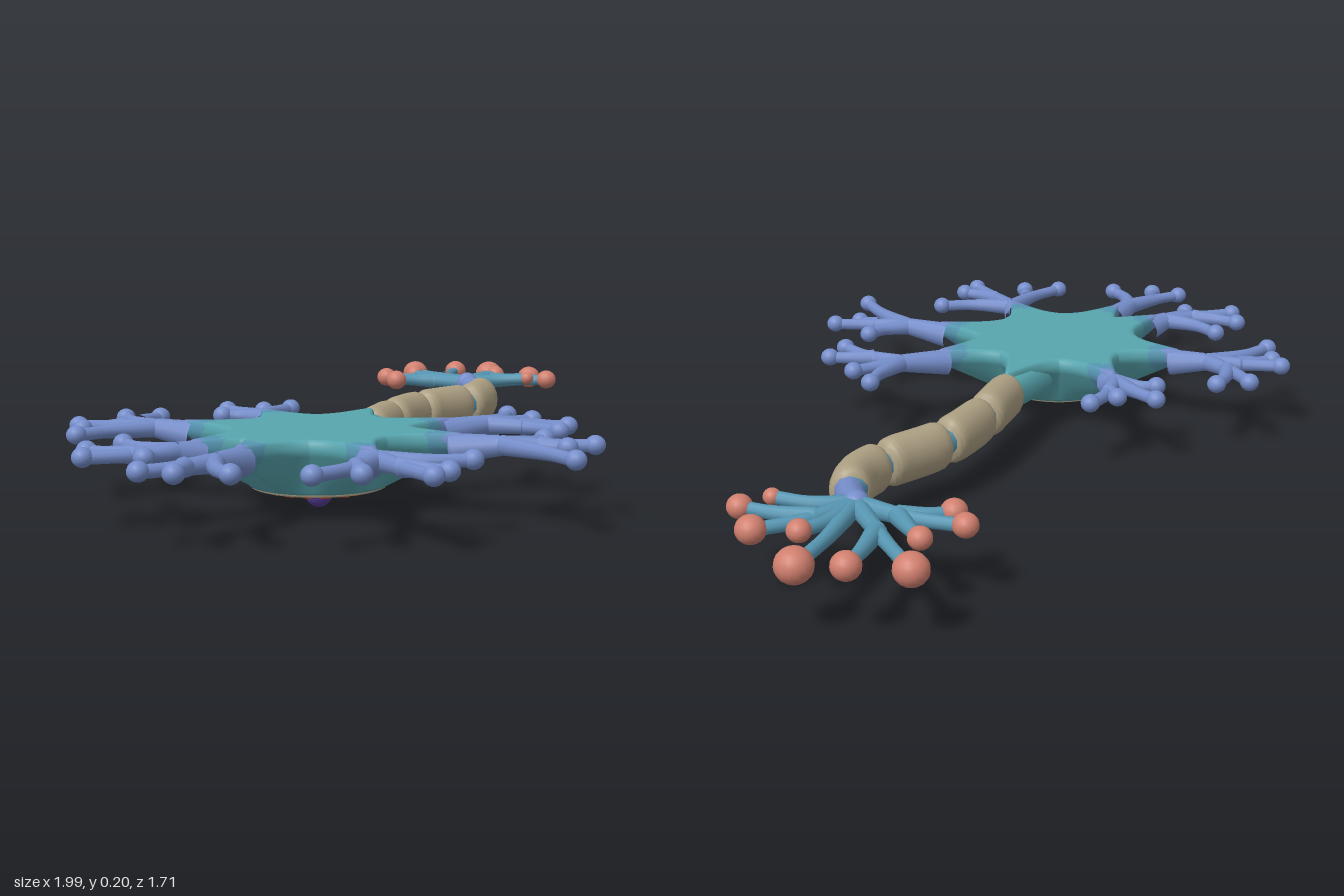
import * as THREE from 'three';
import { mergeVertices, toCreasedNormals } from 'three/addons/utils/BufferGeometryUtils.js';

const mat = (name, color) => Object.assign(new THREE.MeshStandardMaterial({ color }), { name });
const teal = mat('teal', 0x58a6af), steel = mat('steel blue', 0x5796b2), blue = mat('periwinkle', 0x758dca);
const tan = mat('tan', 0xada083), coral = mat('coral', 0xd07f6e), purple = mat('purple', 0x6747a0);
const violet = mat('violet', 0x573c98), green = mat('green', 0x458f6a), red = mat('brick red', 0xcf5a38);
const cream = mat('cream', 0xc4b89a);

const { lerp } = THREE.MathUtils;
const vec = (x, y, z) => new THREE.Vector3(x, y, z);
const CENTER = vec(-.37, 0, .18); // middle of the cell body
const TOP = .2; // everything stays below this flat top

function add(parent, name, geometry, material, position = vec(0, 0, 0)) {
  const m = new THREE.Mesh(geometry, material);
  m.name = name;
  m.position.copy(position);
  parent.add(m);
  return m;
}

// Tube along a curve whose radius follows radius(t); ry stretches it vertically
function taperTube(curve, radius, { steps = 14, sides = 10, ry = 1 } = {}) {
  let g = new THREE.TubeGeometry(curve, steps, 1, sides);
  const pos = g.attributes.position, v = vec(0, 0, 0);
  for (let k = 0; k < pos.count; k++) {
    const t = Math.floor(k / (sides + 1)) / steps, c = curve.getPointAt(t);
    v.fromBufferAttribute(pos, k).sub(c).multiplyScalar(radius(t));
    v.y *= ry;
    v.add(c);
    pos.setXYZ(k, v.x, v.y, v.z);
  }
  g.deleteAttribute('uv');
  g.deleteAttribute('normal');
  g = mergeVertices(g, 1e-5);
  g.computeVertexNormals();
  return g;
}
const path = (...points) => new THREE.CatmullRomCurve3(points);

// Dendrites: hub where the trunk splits, then limbs as [tip, ...side tips], all x, z
const DENDRITES = [
  { hub: [-.6, -.19], limbs: [[[-.57, -.39], [-.49, -.35]], [[-.735, -.34], [-.755, -.285]], [[-.82, -.2]]] },
  { hub: [-.285, -.18], limbs: [[[-.28, -.35]], [[-.35, -.27]], [[-.125, -.275], [-.21, -.28]]] },
  { hub: [.085, .285], limbs: [[[.245, .19]], [[.23, .3]], [[.14, .49], [.22, .44]]] },
  { hub: [-.12, .56], limbs: [[[-.145, .83]], [[.02, .56]], [[.045, .705], [-.03, .69]]] },
  { hub: [-.48, .55], limbs: [[[-.715, .62], [-.625, .675]], [[-.52, .785], [-.455, .76]], [[-.315, .68]]] },
  { hub: [-.78, .35], limbs: [[[-.975, .35], [-.93, .42]], [[-.84, .5]]] },
  { hub: [-.77, .17], limbs: [[[-.975, .11], [-.92, .03]], [[-.8, -.01]], [[-.87, .2]]] },
];

// Axon endings in the same form, with the bulb radius third
const ENDINGS = [
  [[.77, -.815, .04], [.875, -.735, .034]], [[.95, -.655, .043]], [[.872, -.538, .028]],
  [[.945, -.46, .035], [.91, -.345, .03]], [[.835, -.355, .021]],
  [[.567, -.715, .03], [.685, -.718, .028], [.543, -.637, .031]],
];

// Limbs leave the hub along dir, bend to their tip and throw side twigs from the middle
function addLimbs(parent, hub, dir, limbs, limbMaterial, tipMaterial) {
  const limb = (curve, [x, z, r = .025]) => {
    add(parent, 'limb', taperTube(curve, t => lerp(.024, .016, Math.min(1, t * 1.5))), limbMaterial);
    const tip = add(parent, 'tip', new THREE.SphereGeometry(r, 16, 12), tipMaterial, vec(x, TOP - r * .95, z));
    tip.scale.y = .94;
  };
  const end = ([x, z, r = .025]) => vec(x, TOP - r, z);
  for (const [tip, ...twigs] of limbs) {
    const middle = hub.clone().lerp(end(tip), .5).addScaledVector(dir, .018);
    const curve = path(hub, middle, end(tip));
    limb(curve, tip);
    for (const twig of twigs) {
      const start = curve.getPointAt(.42);
      limb(path(start, start.clone().lerp(end(twig), .5).addScaledVector(dir, .008), end(twig)), twig);
    }
  }
}

// Axon centre line, from inside the cell body to the endings
const AXON = path(vec(-.2, .145, .06), vec(-.065, .14, -.005), vec(.1, .137, -.117), vec(.287, .137, -.21),
  vec(.482, .137, -.244), vec(.575, .137, -.285), vec(.64, .145, -.36), vec(.69, .165, -.47));
const axonPart = (from, to) => path(...[0, .25, .5, .75, 1].map(t => AXON.getPointAt(lerp(from, to, t))));

// Directions in which the cell body reaches out
const angleTo = (x, z) => Math.atan2(z - CENTER.z, x - CENTER.x);
const AXON_ANGLE = angleTo(-.07, 0);
const REACHES = [AXON_ANGLE, ...DENDRITES.map(d => angleTo(...d.hub))];
const angleGap = (a, b) => Math.abs(Math.atan2(Math.sin(a - b), Math.cos(a - b)));
const bodyRadius = a => {
  const gap = Math.min(...REACHES.map(b => angleGap(a, b)));
  return .222 + .185 * Math.exp(-Math.hypot(gap, .025) / .13);
};

// Star-shaped body, flat on top, sinking to a round cut below; its reaches turn blue
function cellBody() {
  const N = 360, CUT = .17, rings = []; // each ring: star share, height, radius of the round share
  for (let i = 0; i <= 18; i++) rings.push([i / 18 * .95, TOP - .001, 0]);
  rings.push([.985, .192, 0], [1, .178, 0]);
  for (let i = 14; i >= 0; i--) rings.push([i / 14 * .97, .06 + .107 * i / 14, CUT]);
  rings.push([0, .064, .155], [0, .085, .145]);

  const verts = [], lists = [[], [], []];
  for (const [share, y, round] of rings) for (let i = 0; i < N; i++) {
    const a = i / N * Math.PI * 2, r = lerp(round, bodyRadius(a), share);
    verts.push(CENTER.x + r * Math.cos(a), y, CENTER.z + r * Math.sin(a));
  }
  for (let k = 0; k < rings.length - 1; k++) for (let i = 0; i < N; i++) {
    const a = k * N + i, b = k * N + (i + 1) % N, c = a + N, d = b + N;
    const dx = verts[c * 3] - CENTER.x, dz = verts[c * 3 + 2] - CENTER.z, dist = Math.hypot(dx, dz);
    const tealSide = dist < .29 || angleGap(Math.atan2(dz, dx), AXON_ANGLE) < .35;
    const list = lists[tealSide ? 0 : dist < .335 ? 1 : 2];
    if (k > 0) list.push(a, b, c);
    list.push(b, d, c);
  }
  const g = new THREE.BufferGeometry();
  g.setAttribute('position', new THREE.Float32BufferAttribute(verts, 3));
  g.setIndex(lists.flat());
  let start = 0;
  lists.forEach((l, i) => {
    g.addGroup(start, l.length, i);
    start += l.length;
  });
  g.computeVertexNormals();
  return g;
}

export function createModel() {
  const model = new THREE.Group();
  add(model, 'cellBody', cellBody(), [teal, steel, blue]);

  // Dendrites
  for (const { hub: [x, z], limbs } of DENDRITES) {
    const arm = new THREE.Group();
    arm.name = 'dendrite';
    model.add(arm);
    const hub = vec(x, .174, z), dir = vec(x - CENTER.x, 0, z - CENTER.z).normalize();
    const root = CENTER.clone().addScaledVector(dir, .335).setY(.161);
    add(arm, 'trunk', taperTube(path(root, hub), t => lerp(.037, .025, t)), blue);
    addLimbs(arm, hub, dir, limbs, blue, blue);
  }

  // Axon with four insulating sleeves
  add(model, 'axonRoot', taperTube(axonPart(0, .16), t => lerp(.055, .046, t)), teal);
  add(model, 'axon', taperTube(axonPart(.15, .9), () => .034, { steps: 40 }), steel);
  for (let i = 0; i < 4; i++) {
    const from = .134 + i * .19, line = axonPart(from, from + .181);
    line.points.forEach(p => p.setY(.137));
    const radius = t => t === 0 || t === 1 ? 0 : .051 * (1 - .4 * Math.abs(2 * t - 1) ** 10);
    add(model, 'sleeve', toCreasedNormals(taperTube(line, radius, { steps: 36, sides: 20, ry: 1.23 }), .8), tan);
  }

  // Axon endings
  const endings = new THREE.Group();
  endings.name = 'axonEndings';
  model.add(endings);
  const hub = AXON.getPointAt(1), dir = AXON.getTangentAt(1).setY(0).normalize();
  add(endings, 'stem', taperTube(axonPart(.88, 1), t => lerp(.037, .028, t)), blue);
  add(endings, 'hub', new THREE.SphereGeometry(.033, 16, 12), blue, hub);
  addLimbs(endings, hub, dir, ENDINGS, steel, coral);

  // Cut underside: floor, rim, nucleus and a ring of organelles
  const under = (name, geometry, material, y) => add(model, name, geometry, material, CENTER.clone().setY(y));
  under('cutFloor', new THREE.CircleGeometry(.16, 48), teal, .068).rotation.x = Math.PI / 2;
  under('cutRim', new THREE.TorusGeometry(.159, .009, 8, 64), cream, .062).rotation.x = Math.PI / 2;
  under('nucleus', new THREE.SphereGeometry(.1, 32, 16), purple, .07).scale.y = .45;
  under('nucleolus', new THREE.SphereGeometry(.034, 20, 14), violet, .035);
  for (let i = 0; i < 18; i++) {
    const a = i / 18 * Math.PI * 2;
    const pod = under('organelle', new THREE.CapsuleGeometry(.014, .018, 4, 8), Math.cos(a) > .25 ? green : red, .058);
    pod.position.x += Math.cos(a) * .126;
    pod.position.z += Math.sin(a) * .126;
    pod.rotation.set(Math.PI / 2, 0, a + (i % 2) * .5);
  }
  return model;
}
